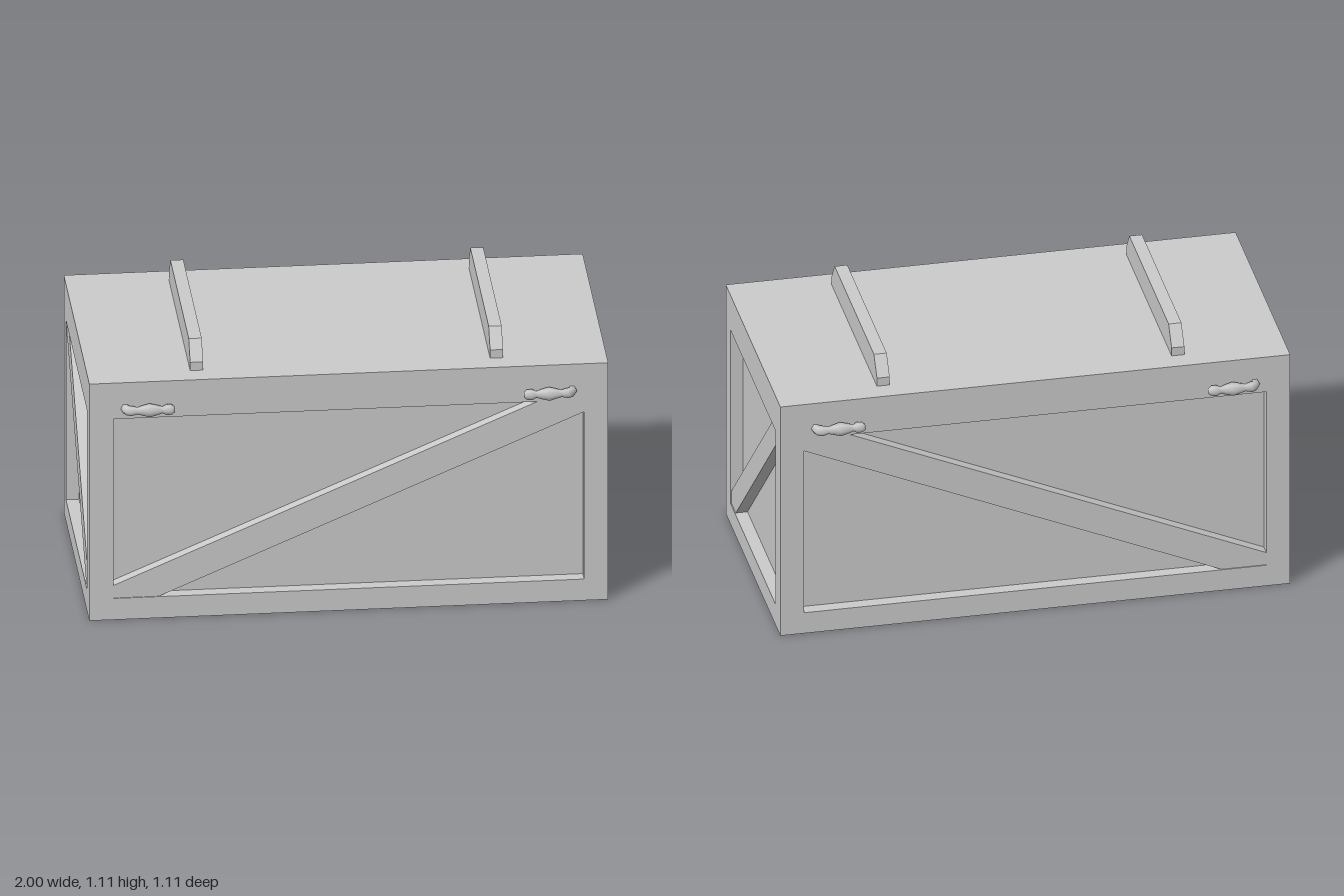
import * as THREE from 'three';

const DEPTH = 0.05; // recess of the panels
const material = new THREE.MeshStandardMaterial({ color: 0xcccccc });

function rectPoints(u0, u1, v0, v1) {
  return [[u0, v0], [u1, v0], [u1, v1], [u0, v1]].map(([u, v]) => new THREE.Vector2(u, v));
}

function addMesh(parent, geometry, name) {
  const mesh = new THREE.Mesh(geometry, material);
  mesh.name = name;
  parent.add(mesh);
  return mesh;
}

// One face of the crate: raised frame around an opening, with a diagonal brace.
// outer and hole are [u0, u1, v0, v1]; the frame spans local z 0..DEPTH.
function crateFace(name, outer, hole, flip) {
  const face = new THREE.Group();
  face.name = name;
  const frame = new THREE.Shape(rectPoints(...outer));
  frame.holes.push(new THREE.Path(rectPoints(...hole).reverse()));
  addMesh(face, new THREE.ExtrudeGeometry(frame, { depth: DEPTH, bevelEnabled: false }), 'frame');

  const [u0, u1, v0, v1] = hole;
  const cu = (u1 - u0) * 0.097, cv = (v1 - v0) * 0.07;
  const corners = [[u0, v0], [u0 + cu, v0], [u1, v1 - cv], [u1, v1], [u1 - cu, v1], [u0, v0 + cv]];
  const brace = new THREE.Shape(corners.map(([u, v]) => new THREE.Vector2(flip ? -u : u, v)));
  addMesh(face, new THREE.ExtrudeGeometry(brace, { depth: DEPTH - 0.004, bevelEnabled: false }), 'brace');
  return face;
}

// Turned handle: hexagonal rings along a path in the xz plane, [x, z, radius].
function handleGeometry() {
  const path = [
    [0.86, 0.49, 0.018], [0.861, 0.508, 0.018], [0.855, 0.521, 0.019], [0.84, 0.528, 0.02],
    [0.818, 0.528, 0.014], [0.8, 0.528, 0.019], [0.77, 0.528, 0.027], [0.738, 0.528, 0.019],
    [0.72, 0.528, 0.013], [0.705, 0.528, 0.021], [0.685, 0.528, 0.02], [0.674, 0.528, 0.012], [0.672, 0.528, 0],
  ];
  const sides = 6, positions = [], index = [];
  path.forEach(([x, z, r], i) => {
    const a = path[Math.max(i - 1, 0)], b = path[Math.min(i + 1, path.length - 1)];
    const t = new THREE.Vector2(b[0] - a[0], b[1] - a[1]).normalize();
    for (let j = 0; j < sides; j++) {
      const angle = (j / sides) * Math.PI * 2, n = r * Math.cos(angle);
      positions.push(x + n * t.y, r * Math.sin(angle), z - n * t.x);
      if (i === path.length - 1) continue;
      const p = i * sides + j, q = i * sides + ((j + 1) % sides);
      index.push(p, q, q + sides, p, q + sides, p + sides);
    }
  });
  const geometry = new THREE.BufferGeometry();
  geometry.setAttribute('position', new THREE.Float32BufferAttribute(positions, 3));
  geometry.setIndex(index);
  geometry.computeVertexNormals();
  return geometry;
}

export function createModel() {
  const crate = new THREE.Group();
  crate.name = 'crate';

  // Solid core: its sides are the recessed panels, its top is the lid
  addMesh(crate, new THREE.BoxGeometry(2 - 2 * DEPTH, 1 - DEPTH, 1 - 2 * DEPTH), 'core').position.y = (1 + DEPTH) / 2;

  // Long faces
  const longOuter = [-1, 1, 0, 1], longHole = [-0.907, 0.907, 0.09, 0.848];
  const front = crateFace('frontFace', longOuter, longHole, false);
  front.position.z = 0.5 - DEPTH;
  const back = crateFace('backFace', longOuter, longHole, true);
  back.position.z = -0.5 + DEPTH;
  back.rotation.y = Math.PI;

  // Short faces fit between the long ones
  const endOuter = [-0.45, 0.45, DEPTH, 1], endHole = [-0.415, 0.415, 0.09, 0.848];
  const left = crateFace('leftFace', endOuter, endHole, false);
  left.position.x = 1 - DEPTH;
  left.rotation.y = Math.PI / 2;
  const right = crateFace('rightFace', endOuter, endHole, true);
  right.position.x = -1 + DEPTH;
  right.rotation.y = -Math.PI / 2;

  // Underside
  const bottom = crateFace('bottomFace', [-1, 1, -0.45, 0.45], [-0.907, 0.907, -0.415, 0.415], false);
  bottom.position.y = DEPTH;
  bottom.rotation.x = Math.PI / 2;
  crate.add(front, back, left, right, bottom);

  // Two chamfered battens across the lid
  const profile = [[-0.415, 1], [0.415, 1], [0.415, 1.035], [0.36, 1.11], [-0.36, 1.11], [-0.415, 1.035]];
  const batten = new THREE.ExtrudeGeometry(
    new THREE.Shape(profile.map(([u, v]) => new THREE.Vector2(u, v))), { depth: 0.05, bevelEnabled: false });
  batten.translate(0, 0, -0.025).rotateY(Math.PI / 2);
  for (const x of [-0.578, 0.578]) addMesh(crate, batten, 'lidBatten').position.x = x;

  // Four handles, placed by half turns
  const handle = handleGeometry();
  for (const [name, axis] of [['frontLeftHandle', null], ['frontRightHandle', 'z'], ['backRightHandle', 'y'], ['backLeftHandle', 'x']]) {
    const mesh = addMesh(crate, handle, name);
    mesh.position.y = 0.892;
    if (axis) mesh.rotation[axis] = Math.PI;
  }
  return crate;
}
